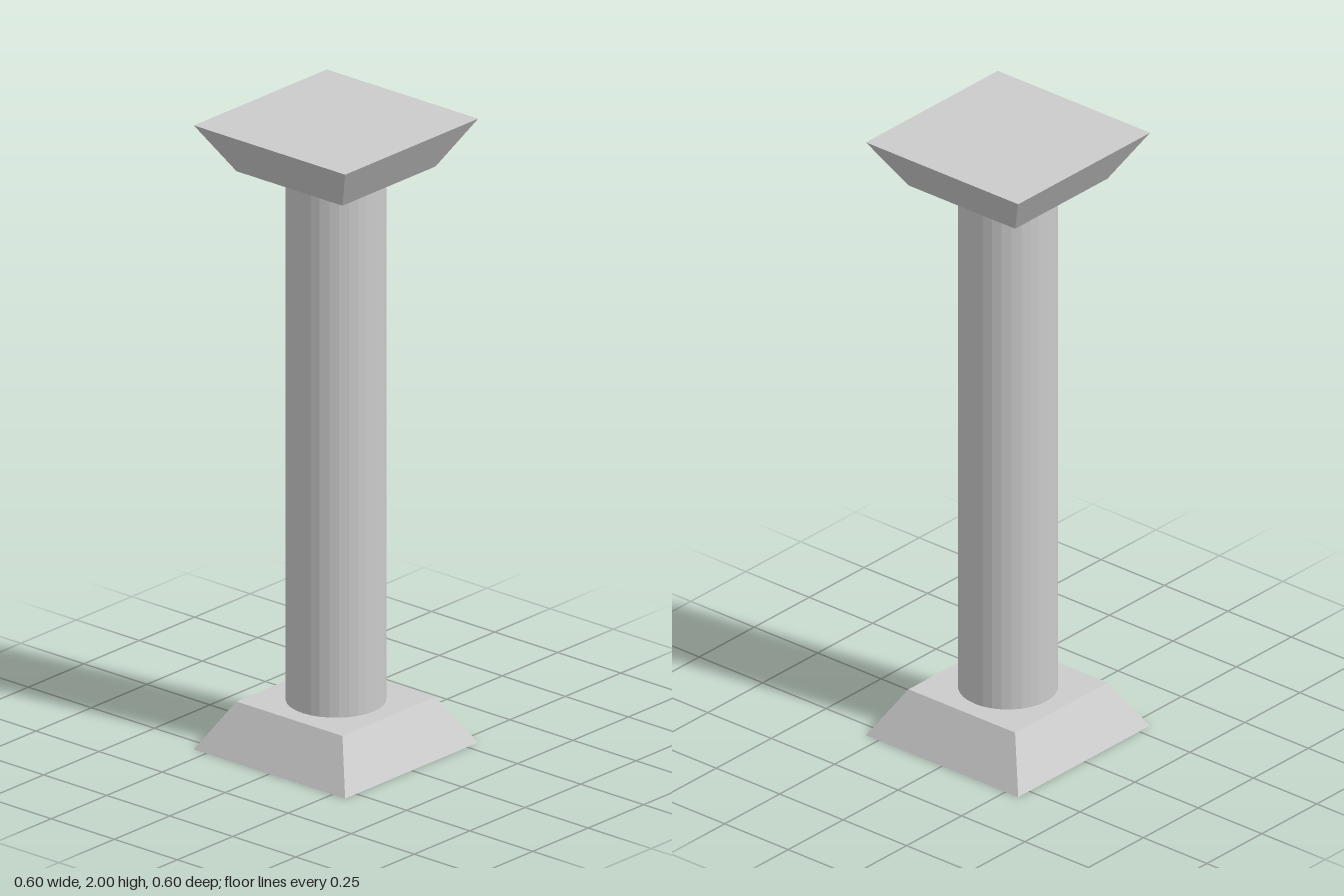
import * as THREE from 'three';

const HEIGHT = 2, BLOCK_HEIGHT = 0.15;
const WIDE = 0.3, NARROW = 0.21; // half widths of the tapered blocks

export function createModel() {
  const group = new THREE.Group();
  const material = new THREE.MeshStandardMaterial({ color: 0xcccccc, flatShading: true });

  function add(name, geometry, y) {
    const mesh = new THREE.Mesh(geometry, material);
    mesh.name = name;
    mesh.position.y = y;
    group.add(mesh);
  }

  // Square frustum: a four-sided cylinder turned so its sides face the axes
  function taperedBlock(topHalf, bottomHalf) {
    return new THREE.CylinderGeometry(topHalf * Math.SQRT2, bottomHalf * Math.SQRT2, BLOCK_HEIGHT, 4)
      .rotateY(Math.PI / 4);
  }

  // Base and capital mirror each other
  add('base', taperedBlock(NARROW, WIDE), BLOCK_HEIGHT / 2);
  add('capital', taperedBlock(WIDE, NARROW), HEIGHT - BLOCK_HEIGHT / 2);

  // Round faceted shaft between the blocks
  add('shaft', new THREE.CylinderGeometry(0.15, 0.15, HEIGHT - 2 * BLOCK_HEIGHT, 32), HEIGHT / 2);

  return group;
}
